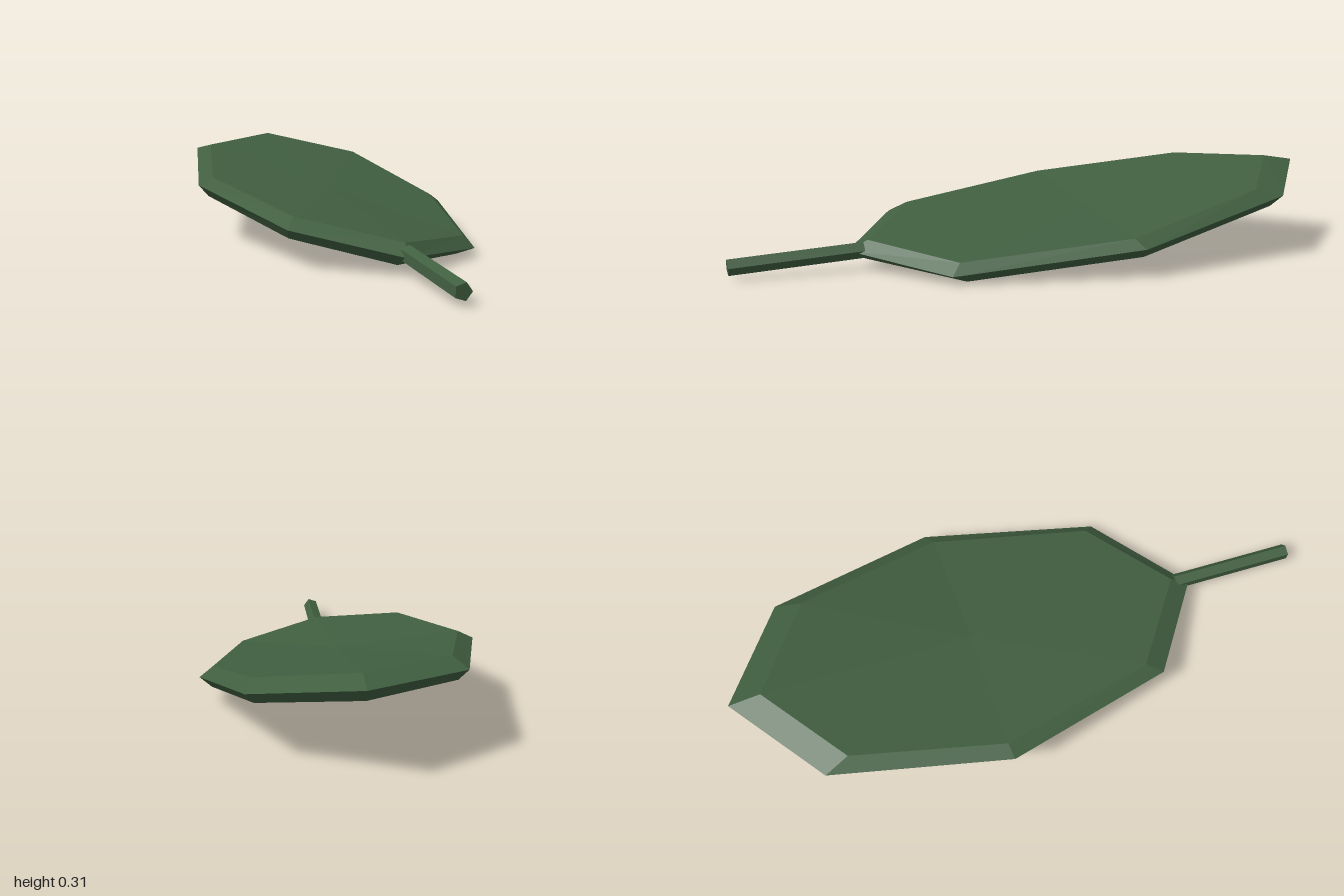
import * as THREE from 'three';

const material = new THREE.MeshStandardMaterial({ color: 0x415f41, flatShading: true });

// Skin a stack of rings (clockwise seen from the last ring), closed by a fan at each end
function loft(name, rings, startCentre, endCentre) {
  const n = rings[0].length;
  const pos = [];
  const tri = (...pts) => pts.forEach((p) => pos.push(...p));
  const last = rings[rings.length - 1];
  for (let i = 0; i < n; i++) {
    const j = (i + 1) % n;
    for (let r = 0; r < rings.length - 1; r++) {
      const a = rings[r], b = rings[r + 1];
      tri(a[j], a[i], b[i]);
      tri(a[j], b[i], b[j]);
    }
    tri(startCentre, rings[0][i], rings[0][j]);
    tri(endCentre, last[j], last[i]);
  }
  const geometry = new THREE.BufferGeometry();
  geometry.setAttribute('position', new THREE.Float32BufferAttribute(pos, 3));
  geometry.computeVertexNormals();
  const mesh = new THREE.Mesh(geometry, material);
  mesh.name = name;
  return mesh;
}

// Eight-sided leaf blade: underside, widest rim and upper face, all gently tilted
function createBlade() {
  const under = [
    [-0.36, 0.248, -0.95], [0.03, 0.18, -0.875], [0.395, 0.065, -0.41], [0.52, 0, 0.18],
    [0.335, 0.033, 0.565], [-0.035, 0.097, 0.48], [-0.41, 0.163, 0], [-0.545, 0.23, -0.59],
  ];
  const rim = [
    [-0.38, 0.295, -1], [0.04, 0.22, -0.92], [0.437, 0.099, -0.42], [0.585, 0.03, 0.22],
    [0.37, 0.066, 0.615], [-0.03, 0.135, 0.54], [-0.44, 0.207, 0.03], [-0.588, 0.275, -0.62],
  ];
  const upper = [
    [-0.33, 0.315, -0.89], [0.055, 0.245, -0.82], [0.405, 0.13, -0.38], [0.545, 0.07, 0.2],
    [0.36, 0.104, 0.545], [-0.02, 0.17, 0.47], [-0.393, 0.235, 0], [-0.515, 0.297, -0.55],
  ];
  return loft('leafBlade', [under, rim, upper], [-0.012, 0.118, -0.2], [0.01, 0.185, -0.18]);
}

// Five-sided stalk running out from the blade's corner
function createStem() {
  const start = new THREE.Vector3(0.365, 0.071, 0.56);
  const end = new THREE.Vector3(0.553, 0.045, 0.985);
  const along = end.clone().sub(start).normalize();
  const side = new THREE.Vector3(along.z, 0, -along.x).normalize();
  const up = along.clone().cross(side);
  const ring = (centre) => Array.from({ length: 5 }, (_, i) => {
    const angle = (-i * 2 * Math.PI) / 5;
    return centre.clone()
      .addScaledVector(side, 0.03 * Math.cos(angle))
      .addScaledVector(up, 0.03 * Math.sin(angle))
      .toArray();
  });
  return loft('stem', [ring(start), ring(end)], start.toArray(), end.toArray());
}

export function createModel() {
  const leaf = new THREE.Group();
  leaf.name = 'leaf';
  leaf.add(createBlade(), createStem());
  return leaf;
}
